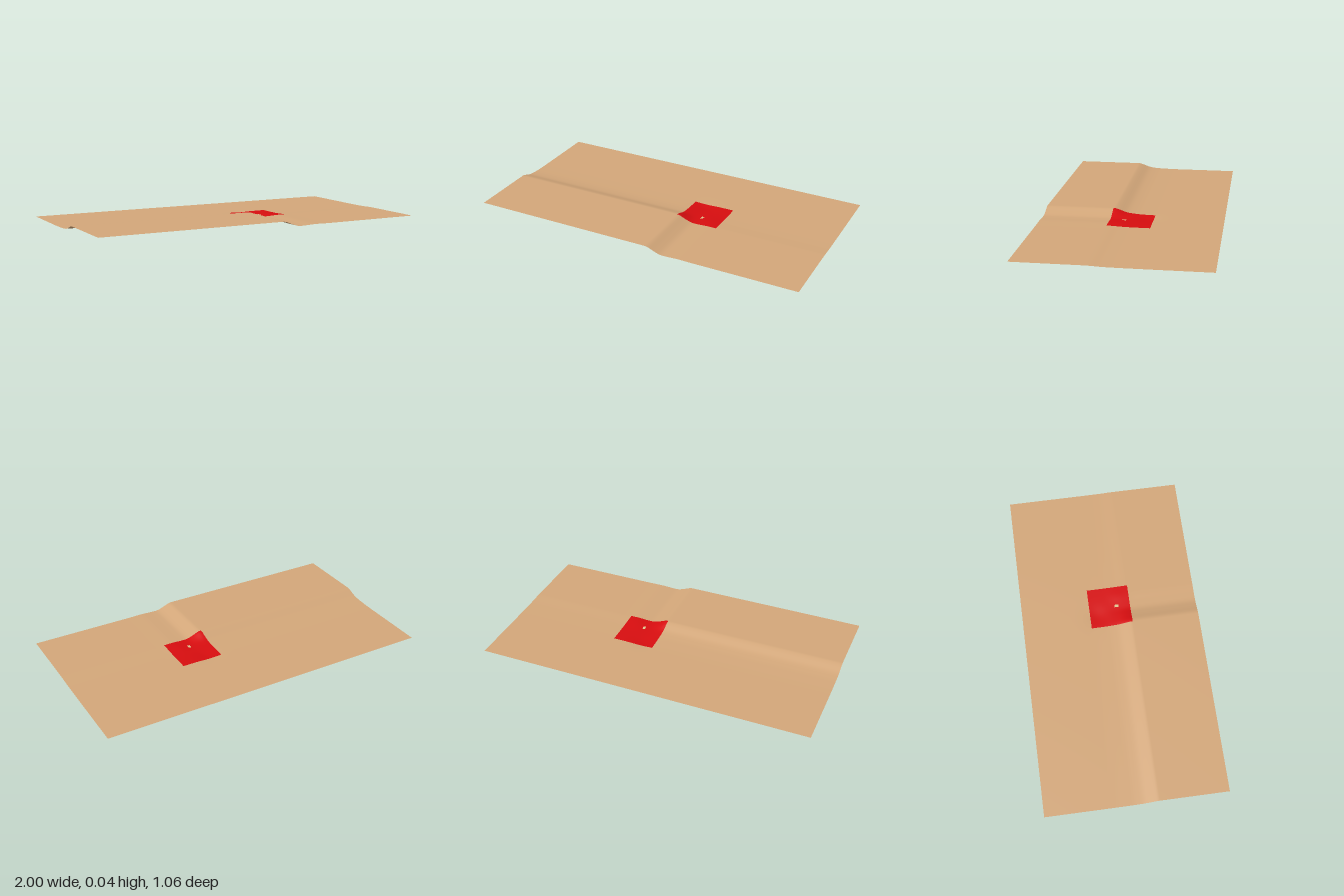
import * as THREE from 'three';

// Smooth curve through [position, value] knots, level beyond both ends
function profile(knots) {
  const n = knots.length;
  const slope = i => (i === 0 || i === n - 1) ? 0
    : (knots[i + 1][1] - knots[i - 1][1]) / (knots[i + 1][0] - knots[i - 1][0]);
  return p => {
    if (p <= knots[0][0]) return knots[0][1];
    if (p >= knots[n - 1][0]) return knots[n - 1][1];
    let i = 0;
    while (p > knots[i + 1][0]) i++;
    const [a, va] = knots[i], [b, vb] = knots[i + 1];
    const d = b - a, t = (p - a) / d, t2 = t * t, t3 = t2 * t;
    return va * (2 * t3 - 3 * t2 + 1) + vb * (3 * t2 - 2 * t3)
      + d * (slope(i) * (t3 - 2 * t2 + t) + slope(i + 1) * (t3 - t2));
  };
}

// Height along the front edge, and how far each z has risen from back to front
const frontHeight = profile([[0.09, 0.04], [0.11, 0.038], [0.15, 0.022], [0.19, 0.009],
  [0.23, 0.008], [0.3, 0.011], [0.4, 0.01]]);
const rise = profile([[-0.14, 0], [-0.05, 0.05], [0, 0.12], [0.05, 0.32], [0.1, 0.82],
  [0.12, 0.98], [0.13, 1]]);
const bump = (x, z, cx, cz, r) => Math.exp(-((x - cx) ** 2 + (z - cz) ** 2) / (r * r));

function height(x, z) {
  const back = 0.005;
  return back + (frontHeight(x) - back) * rise(z)
    - 0.005 * bump(x, z, 0.17, -0.08, 0.06)   // hollow beside the step
    + 0.003 * bump(x, z, 0.28, 0.06, 0.05);   // slight swell
}

// Rectangular piece of the undulating sheet with smooth, seam-free normals
function patch(name, material, x0, x1, z0, z1, lift = 0) {
  const nx = Math.min(90, Math.ceil((x1 - x0) / 0.012));
  const nz = Math.min(90, Math.ceil((z1 - z0) / 0.008));
  const geometry = new THREE.PlaneGeometry(x1 - x0, z1 - z0, nx, nz);
  geometry.rotateX(-Math.PI / 2);
  geometry.translate((x0 + x1) / 2, 0, (z0 + z1) / 2);
  const pos = geometry.attributes.position, nor = geometry.attributes.normal;
  const e = 0.004, v = new THREE.Vector3();
  for (let i = 0; i < pos.count; i++) {
    const x = pos.getX(i), z = pos.getZ(i);
    pos.setY(i, height(x, z) + lift);
    v.set(height(x - e, z) - height(x + e, z), 2 * e, height(x, z - e) - height(x, z + e)).normalize();
    nor.setXYZ(i, v.x, v.y, v.z);
  }
  const mesh = new THREE.Mesh(geometry, material);
  mesh.name = name;
  return mesh;
}

export function createModel() {
  const make = (name, color) =>
    new THREE.MeshStandardMaterial({ name, color, side: THREE.DoubleSide });
  const tan = make('tan', 0xd2a679);
  const red = make('red', 0xd60d0f);
  const cream = make('cream', 0xdcc690);

  const model = new THREE.Group();
  model.name = 'terrainSheet';
  const [l, r, b, f] = [0.095, 0.345, -0.12, 0.13];   // red square bounds
  model.add(
    // Ground around the red square
    patch('groundLeftBack', tan, -1, l, -0.53, b),
    patch('groundLeftMiddle', tan, -1, l, b, f),
    patch('groundLeftFront', tan, -1, l, f, 0.53),
    patch('groundBack', tan, l, r, -0.53, b),
    patch('groundFront', tan, l, r, f, 0.53),
    patch('groundRightBack', tan, r, 1, -0.53, b),
    patch('groundRightMiddle', tan, r, 1, b, f),
    patch('groundRightFront', tan, r, 1, f, 0.53),
    // Marked square and its small centre mark
    patch('redSquare', red, l, r, b, f),
    patch('centreMark', cream, 0.212, 0.228, 0.035, 0.06, 0.002),
  );
  return model;
}
